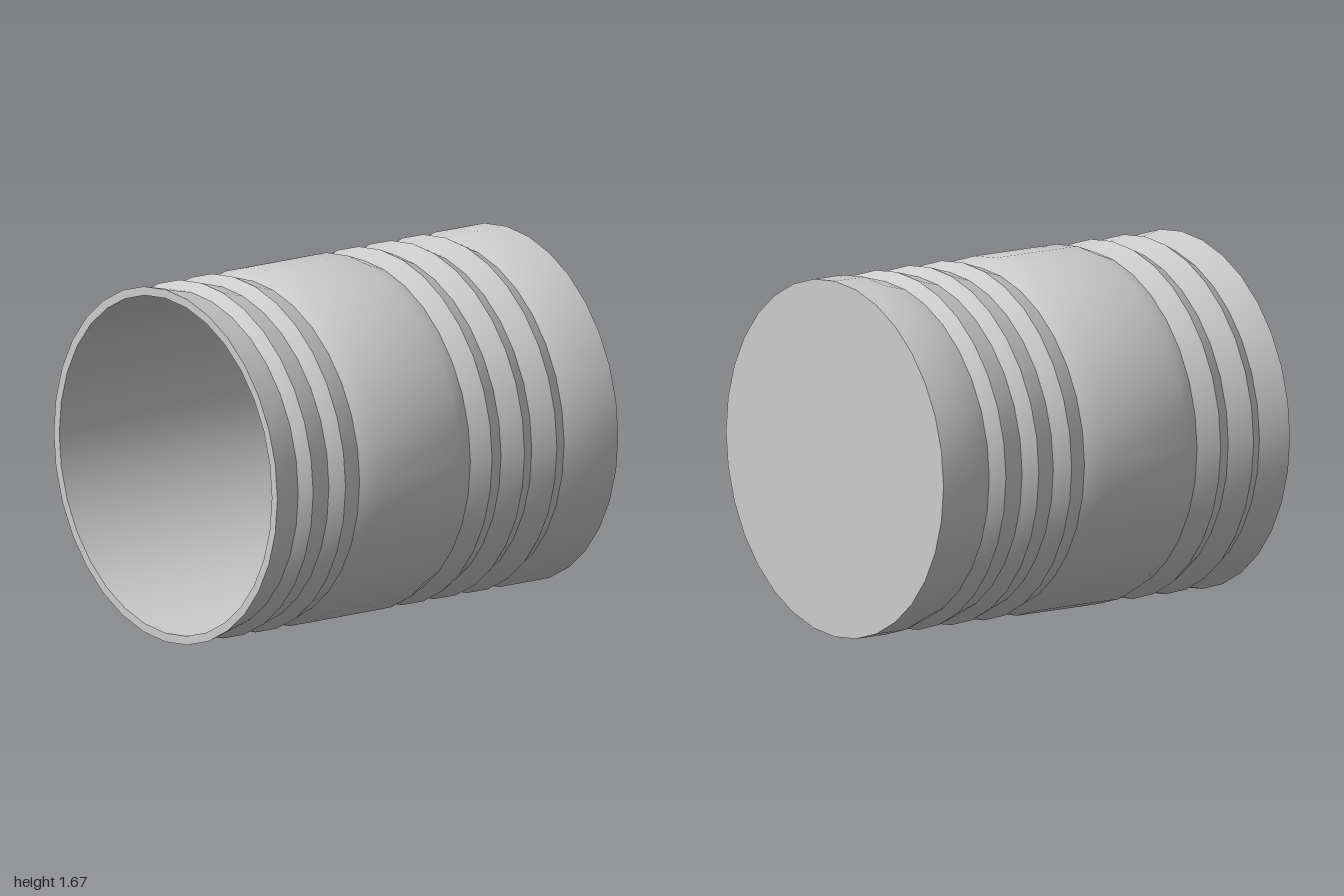
import * as THREE from 'three';
import { toCreasedNormals } from 'three/addons/utils/BufferGeometryUtils.js';

export function createModel() {
  const group = new THREE.Group();
  group.name = 'ribbedCan';
  const R = 0.837, groove = 0.802;

  // z positions along the wall, alternating groove bottoms and crests
  const profile = [
    [0, -1], [R, -1], [R, -0.83],
    [groove, -0.71], [R, -0.64], [groove, -0.52], [R, -0.45],
    [groove, -0.34], [R, -0.26], [groove, -0.16], [R, -0.07],
    [R, 0.4], [groove, 0.49], [R, 0.6], [groove, 0.67],
    [R, 0.79], [groove, 0.85], [R, 1],
    // rim, tapered inside wall and floor
    [0.796, 1], [0.764, -0.95], [0, -0.95],
  ].map(([r, z]) => new THREE.Vector2(r, z));

  // Lathe around y, then lay the axis along z with the open end in front
  const lathe = new THREE.LatheGeometry(profile, 32);
  lathe.rotateX(Math.PI / 2);
  const can = new THREE.Mesh(
    toCreasedNormals(lathe, THREE.MathUtils.degToRad(30)),
    new THREE.MeshStandardMaterial({ color: 0xcccccc })
  );
  can.name = 'canBody';
  can.position.y = R;
  group.add(can);
  return group;
}
